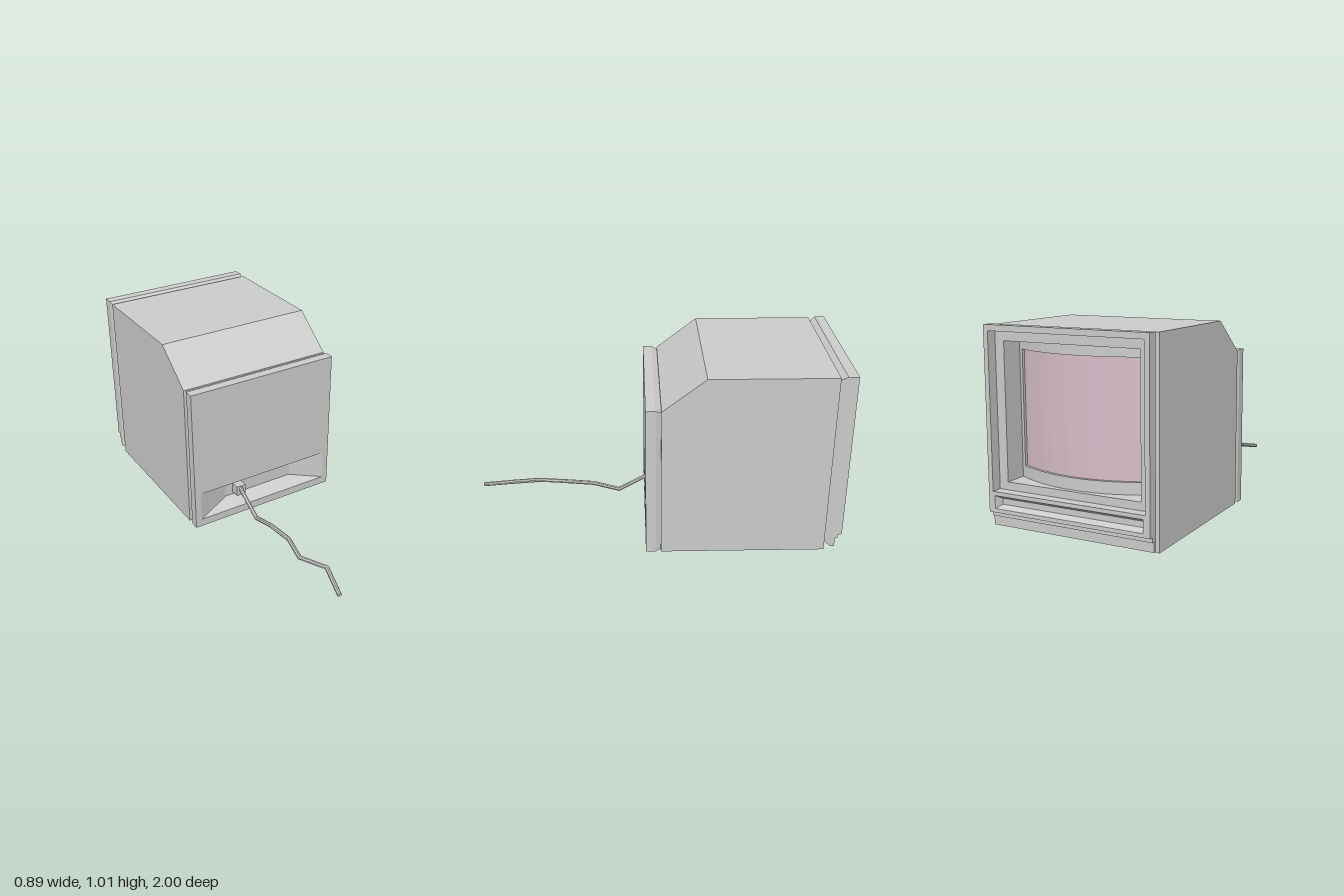
import * as THREE from 'three';

const grey = new THREE.MeshStandardMaterial({ color: 0xcccccc, flatShading: true, side: THREE.DoubleSide });
const glass = new THREE.MeshStandardMaterial({ color: 0xd6bcc8, flatShading: true, side: THREE.DoubleSide });

// A rectangle centred on x = 0, given as half width, bottom and top
const rect = (w, y0, y1) => [[-w, y0], [w, y0], [w, y1], [-w, y1]];
const toPoints = (r) => r.map(([x, y]) => new THREE.Vector2(x, y));

// Slab facing z, between z0 and z1, with rectangular openings
function slab(outer, z0, z1, holes = []) {
  const shape = new THREE.Shape(toPoints(outer));
  holes.forEach((h) => shape.holes.push(new THREE.Path(toPoints(h))));
  return new THREE.ExtrudeGeometry(shape, { depth: z1 - z0, bevelEnabled: false }).translate(0, 0, z0);
}

// Four walls joining two rectangles, optionally closed by a floor at the second
function funnel(a, za, b, zb, floor = false) {
  const pos = [...a.map((p) => [...p, za]), ...b.map((p) => [...p, zb])].flat();
  const index = [];
  for (let i = 0; i < 4; i++) {
    const j = (i + 1) % 4;
    index.push(i, j, j + 4, i, j + 4, i + 4);
  }
  if (floor) index.push(4, 5, 6, 4, 6, 7);
  const g = new THREE.BufferGeometry();
  g.setAttribute('position', new THREE.Float32BufferAttribute(pos, 3));
  g.setIndex(index);
  const flat = g.toNonIndexed();
  flat.computeVertexNormals();
  return flat;
}

// Bulges a geometry toward -z around the vertical middle line
function bulge(g, z) {
  const p = g.attributes.position;
  for (let i = 0; i < p.count; i++) {
    const x = p.getX(i);
    p.setZ(i, p.getZ(i) + z - 0.1 * (1 - (x / 0.37) ** 2));
  }
  g.computeVertexNormals();
  return g;
}

export function createModel() {
  const model = new THREE.Group();
  const add = (name, geometry, material = grey) => {
    const mesh = new THREE.Mesh(geometry, material);
    mesh.name = name;
    model.add(mesh);
    return mesh;
  };

  const W = 0.445;
  const opening = rect(0.42, 0.2, 0.98);
  const tunnel = rect(0.37, 0.24, 0.93);
  const strip = rect(0.41, 0.115, 0.18);

  // Cabinet with sloped top edge
  const profile = [[-0.8, 0], [-0.03, 0], [-0.03, 0.83], [-0.255, 1.005], [-0.8, 1.005]];
  const cabinet = new THREE.ExtrudeGeometry(new THREE.Shape(toPoints(profile)), { depth: 2 * W, bevelEnabled: false });
  add('cabinet', cabinet.rotateY(-Math.PI / 2).translate(W, 0, 0));
  add('cabinetRim', slab(rect(W, 0, 1.005), -0.91, -0.8, [tunnel]));

  // Screen-side frame, its tapered neck and the stepped lower edge
  add('screenFrame', slab(rect(W, 0.095, 1.01), -1, -0.945, [opening, strip]));
  add('frameNeck', funnel(rect(W, 0.02, 1.01), -0.945, rect(0.425, 0.04, 0.985), -0.91));
  add('lowerStep', slab(rect(W, 0.07, 0.095), -0.978, -0.945));
  add('lowerSill', slab(rect(W, 0.02, 0.07), -0.965, -0.945));
  add('controlStrip', funnel(strip, -1, rect(0.39, 0.13, 0.16), -0.965, true));

  // Stepped recess around the screen
  add('recessLedge', funnel(opening, -0.945, tunnel, -0.945));
  add('recessWalls', funnel(tunnel, -0.945, tunnel, -0.8));

  // Curved bezel and curved glass
  const bars = [
    ['bezelTop', 0.74, 0.05, 0, 0.905], ['bezelBottom', 0.74, 0.06, 0, 0.27],
    ['bezelLeft', 0.025, 0.58, 0.3575, 0.59], ['bezelRight', 0.025, 0.58, -0.3575, 0.59],
  ];
  for (const [name, w, h, x, y] of bars) {
    const bar = new THREE.BoxGeometry(w, h, 0.02, w > 0.1 ? 14 : 1).translate(x, y, 0);
    add(name, bulge(bar, -0.812));
  }
  const screen = new THREE.PlaneGeometry(0.72, 0.6, 14, 1).rotateY(Math.PI).translate(0, 0.59, 0);
  add('screen', bulge(screen, -0.806), glass);

  // Rear panel with a groove behind it and a sloped socket recess
  const socket = rect(0.41, 0.045, 0.215);
  add('rearPanel', slab(rect(W, 0, 0.835), 0, 0.05, [socket]));
  add('rearGroove', funnel(rect(W, 0, 0.835), 0, rect(0.43, 0.01, 0.822), -0.03));
  add('socketRecess', funnel(socket, 0.05, rect(0.215, 0.09, 0.175), -0.02, true));
  add('plug', new THREE.BoxGeometry(0.056, 0.06, 0.05).translate(-0.14, 0.133, 0.005));

  // Kinked power cable
  const path = [
    [-0.14, 0.148, 0.02], [-0.143, 0.13, 0.05], [-0.143, 0.045, 0.2], [-0.143, 0.088, 0.35], [-0.14, 0.105, 0.52],
    [-0.172, 0.097, 0.67], [-0.115, 0.118, 0.83], [-0.157, 0.08, 0.998],
  ].map((p) => new THREE.Vector3(...p));
  const cable = new THREE.Group();
  cable.name = 'powerCable';
  for (let i = 0; i < path.length - 1; i++) {
    const dir = path[i + 1].clone().sub(path[i]);
    const piece = new THREE.Mesh(new THREE.CylinderGeometry(0.012, 0.012, dir.length(), 8), grey);
    piece.name = 'cableSegment';
    piece.position.copy(path[i]).addScaledVector(dir, 0.5);
    piece.quaternion.setFromUnitVectors(new THREE.Vector3(0, 1, 0), dir.normalize());
    cable.add(piece);
    if (i === 0) continue;
    const joint = new THREE.Mesh(new THREE.SphereGeometry(0.012, 8, 6), grey);
    joint.name = 'cableJoint';
    joint.position.copy(path[i]);
    cable.add(joint);
  }
  model.add(cable);
  return model;
}
